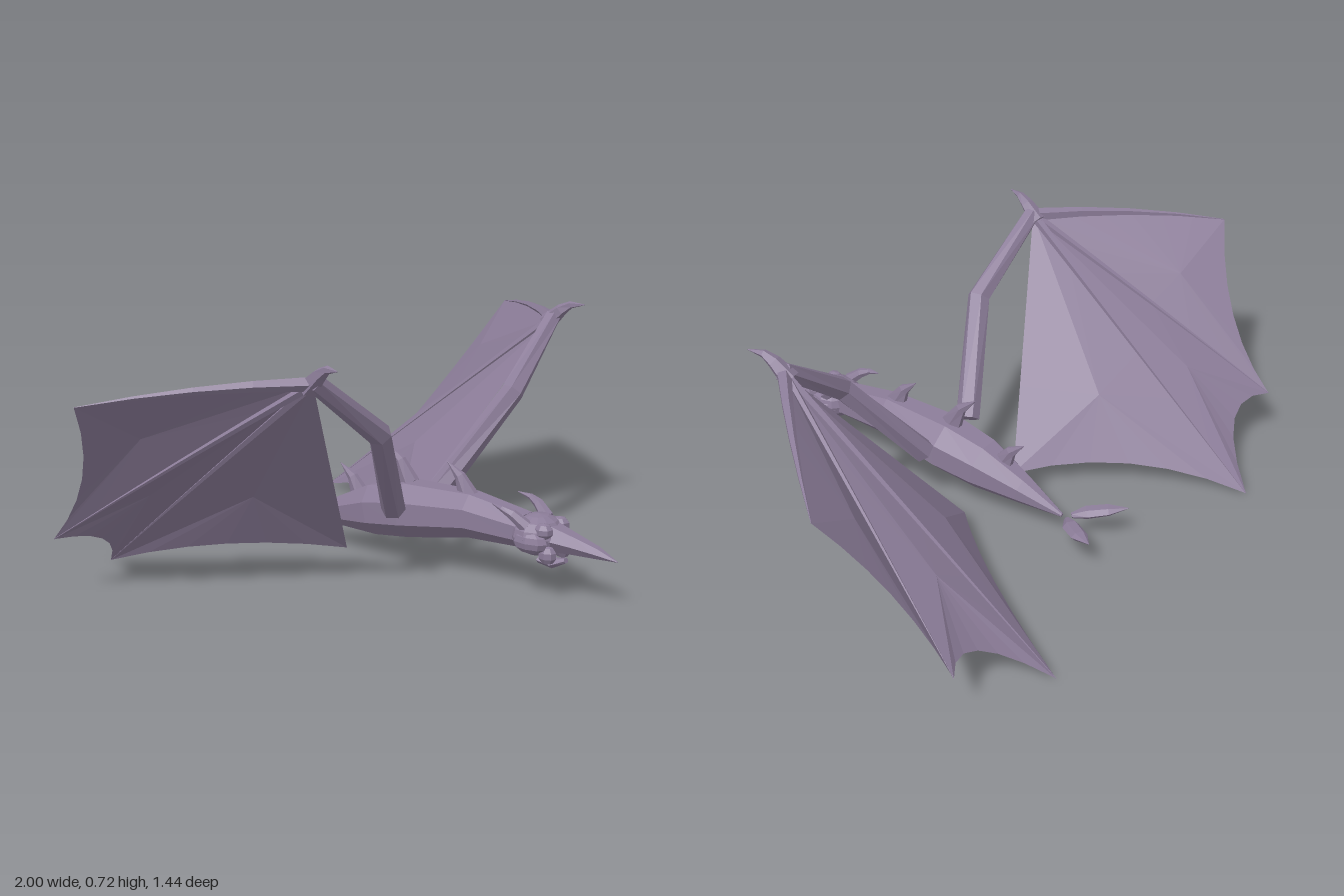
import * as THREE from 'three';

const skin = new THREE.MeshStandardMaterial({ color: 0x8c7d99 });
skin.name = 'dusky purple skin';
const web = new THREE.MeshStandardMaterial({ color: 0x8c7d99, side: THREE.DoubleSide });
web.name = 'dusky purple membrane';

const V = (a) => new THREE.Vector3(a[0], a[1], a[2]);

// flat-shaded mesh
function part(name, geo, mat = skin) {
  const g = geo.index ? geo.toNonIndexed() : geo;
  g.computeVertexNormals();
  const m = new THREE.Mesh(g, mat);
  m.name = name;
  return m;
}

// closed skin around rings [x, y, z, half width, half height], mirrored by s
function loft(name, rings, n = 6, s = 1, phase = 0) {
  const c = rings.map((r) => new THREE.Vector3(r[0] * s, r[1], r[2]));
  const pos = [], idx = [], up = new THREE.Vector3(0, 1, 0);
  rings.forEach((r, i) => {
    const t = c[Math.min(i + 1, c.length - 1)].clone().sub(c[Math.max(i - 1, 0)]).normalize();
    const side = up.clone().cross(t).normalize();
    const top = t.clone().cross(side);
    for (let j = 0; j < n; j++) {
      const a = (j / n) * Math.PI * 2 + phase;
      const p = c[i].clone().addScaledVector(side, Math.cos(a) * r[3]);
      p.addScaledVector(top, Math.sin(a) * (r[4] ?? r[3]));
      pos.push(p.x, p.y, p.z);
    }
  });
  const first = c.length * n, last = first + 1, end = (c.length - 1) * n;
  pos.push(...c[0].toArray(), ...c[c.length - 1].toArray());
  for (let j = 0; j < n; j++) {
    const k = (j + 1) % n;
    for (let i = 0; i < end; i += n) idx.push(i + j, i + k, i + n + k, i + j, i + n + k, i + n + j);
    idx.push(first, k, j, last, end + j, end + k);
  }
  const g = new THREE.BufferGeometry();
  g.setAttribute('position', new THREE.Float32BufferAttribute(pos, 3));
  g.setIndex(idx);
  return part(name, g);
}

// low-poly ellipsoid
function blob(name, p, r, w = 10, h = 7) {
  const g = new THREE.SphereGeometry(1, w, h);
  g.scale(...r).translate(...p);
  return part(name, g);
}

// point on a finger that passes through its middle knuckle
function along(f, t) {
  const [a, m, b] = f.map(V);
  return a.multiplyScalar((1 - t) * (1 - 2 * t)).addScaledVector(m, 4 * t * (1 - t)).addScaledVector(b, t * (2 * t - 1));
}

// membrane between two fingers: a fan around a slightly raised centre, with a scalloped rim through `mid`
function membrane(f1, f2, mid, s) {
  const N = 6, outline = [];
  const w = V(f1[0]), tip1 = V(f1[2]), tip2 = V(f2[2]);
  const sag = V(mid).sub(tip1.clone().lerp(tip2, 0.5));
  for (let i = 0; i < N; i++) outline.push(along(f1, i / N));
  for (let i = 0; i < N; i++) {
    const u = i / N;
    outline.push(tip1.clone().lerp(tip2, u).addScaledVector(sag, 4 * u * (1 - u)));
  }
  for (let i = N; i > 0; i--) outline.push(along(f2, i / N));
  const normal = tip1.clone().sub(w).cross(tip2.clone().sub(w)).normalize();
  const centre = along(f1, 0.68).lerp(along(f2, 0.68), 0.5).addScaledVector(normal, 0.035 * tip1.distanceTo(tip2));
  const pos = [];
  outline.forEach((p, i) => {
    const q = outline[(i + 1) % outline.length];
    const tri = s > 0 ? [centre, p, q] : [centre, q, p];
    tri.forEach((v) => pos.push(v.x * s, v.y, v.z));
  });
  const g = new THREE.BufferGeometry();
  g.setAttribute('position', new THREE.Float32BufferAttribute(pos, 3));
  return part('wingMembrane', g, web);
}

function wing(s) {
  const g = new THREE.Group();
  g.name = s > 0 ? 'leftWing' : 'rightWing';
  const W = [0.585, 0.67, 0.13];
  // arm from shoulder through elbow to wrist
  g.add(loft('wingArm', [[0.11, 0.2, 0.032, 0.036], [0.33, 0.485, 0.152, 0.035], [0.585, 0.675, 0.132, 0.026]], 6, s));
  // thumb claw
  g.add(loft('wingClaw', [[0.583, 0.655, 0.11, 0.03], [0.59, 0.698, 0.158, 0.02], [0.597, 0.716, 0.188, 0.012], [0.61, 0.719, 0.232, 0.001]], 5, s));
  // finger bones: wrist, knuckle, tip
  const A = [W, [0.8, 0.66, -0.09], [1.0, 0.622, -0.32]];
  const B = [W, [0.708, 0.424, -0.243], [0.83, 0.17, -0.615]];
  const C = [W, [0.553, 0.339, -0.296], [0.52, 0.005, -0.72]];
  const D = [W, [0.355, 0.362, 0], [0.125, 0.055, -0.13]];
  [[A, 0.02], [B, 0.014], [C, 0.014]].forEach(([f, r]) => {
    const rings = [0, 0.25, 0.5, 0.75, 1].map((t) => [...along(f, t).toArray(), r * (1 - t) + 0.001]);
    g.add(loft('wingFinger', rings, 5, s));
  });
  g.add(membrane(A, B, [0.865, 0.38, -0.45], s));
  g.add(membrane(B, C, [0.68, 0.14, -0.58], s));
  g.add(membrane(C, D, [0.355, 0.075, -0.4], s));
  return g;
}

export function createModel() {
  const model = new THREE.Group();
  model.name = 'wyvern';

  // body from tail tip to neck
  model.add(loft('body', [
    [0, 0.085, -0.39, 0.006, 0.006], [0, 0.12, -0.25, 0.042, 0.047], [0, 0.153, -0.11, 0.076, 0.082],
    [0, 0.175, 0.02, 0.09, 0.088], [0, 0.195, 0.24, 0.066, 0.07], [0, 0.182, 0.42, 0.056, 0.052],
  ], 8, 1, Math.PI / 8));

  // swept back spikes: base, bend, tip
  [[0.22, 0.245, 0.145, 0.338], [0.01, 0.25, -0.075, 0.358], [-0.175, 0.18, -0.25, 0.27]].forEach(([z, y, tz, ty]) => {
    model.add(loft('backSpike', [
      [0, y, z, 0.019, 0.036], [0, y * 0.4 + ty * 0.6, z * 0.6 + tz * 0.4, 0.013, 0.018], [0, ty, tz, 0.001, 0.001],
    ], 6));
  });

  // head, snout and lower jaw
  const head = new THREE.Group();
  head.name = 'head';
  head.add(blob('skull', [0, 0.178, 0.46], [0.083, 0.06, 0.076], 12, 8));
  head.add(loft('snout', [
    [0, 0.178, 0.5, 0.05, 0.045], [0, 0.168, 0.58, 0.033, 0.03], [0, 0.158, 0.65, 0.021, 0.018], [0, 0.143, 0.717, 0.001, 0.001],
  ], 6));
  head.add(loft('lowerJaw', [
    [0, 0.112, 0.475, 0.036, 0.016], [0, 0.102, 0.515, 0.03, 0.014], [0, 0.116, 0.552, 0.012, 0.008],
  ], 6));
  for (const s of [1, -1]) {
    head.add(blob('cheek', [s * 0.058, 0.17, 0.468], [0.028, 0.034, 0.056], 8, 6));
    head.add(blob('brow', [s * 0.043, 0.203, 0.503], [0.026, 0.024, 0.03], 7, 5));
    head.add(blob('jawJoint', [s * 0.04, 0.135, 0.515], [0.022, 0.028, 0.028], 7, 5));
    head.add(loft('horn', [
      [0.055, 0.21, 0.455, 0.02], [0.068, 0.243, 0.415, 0.015], [0.074, 0.256, 0.385, 0.009], [0.07, 0.265, 0.345, 0.001],
    ], 6, s));
  }
  model.add(head);

  // leaf-shaped tail fins
  for (const s of [1, -1]) {
    model.add(loft('tailFin', [
      [0.012, 0.088, -0.415, 0.009, 0.008], [0.042, 0.096, -0.448, 0.026, 0.017],
      [0.078, 0.106, -0.5, 0.025, 0.014], [0.107, 0.117, -0.55, 0.001, 0.001],
    ], 6, s));
    model.add(wing(s));
  }
  return model;
}
